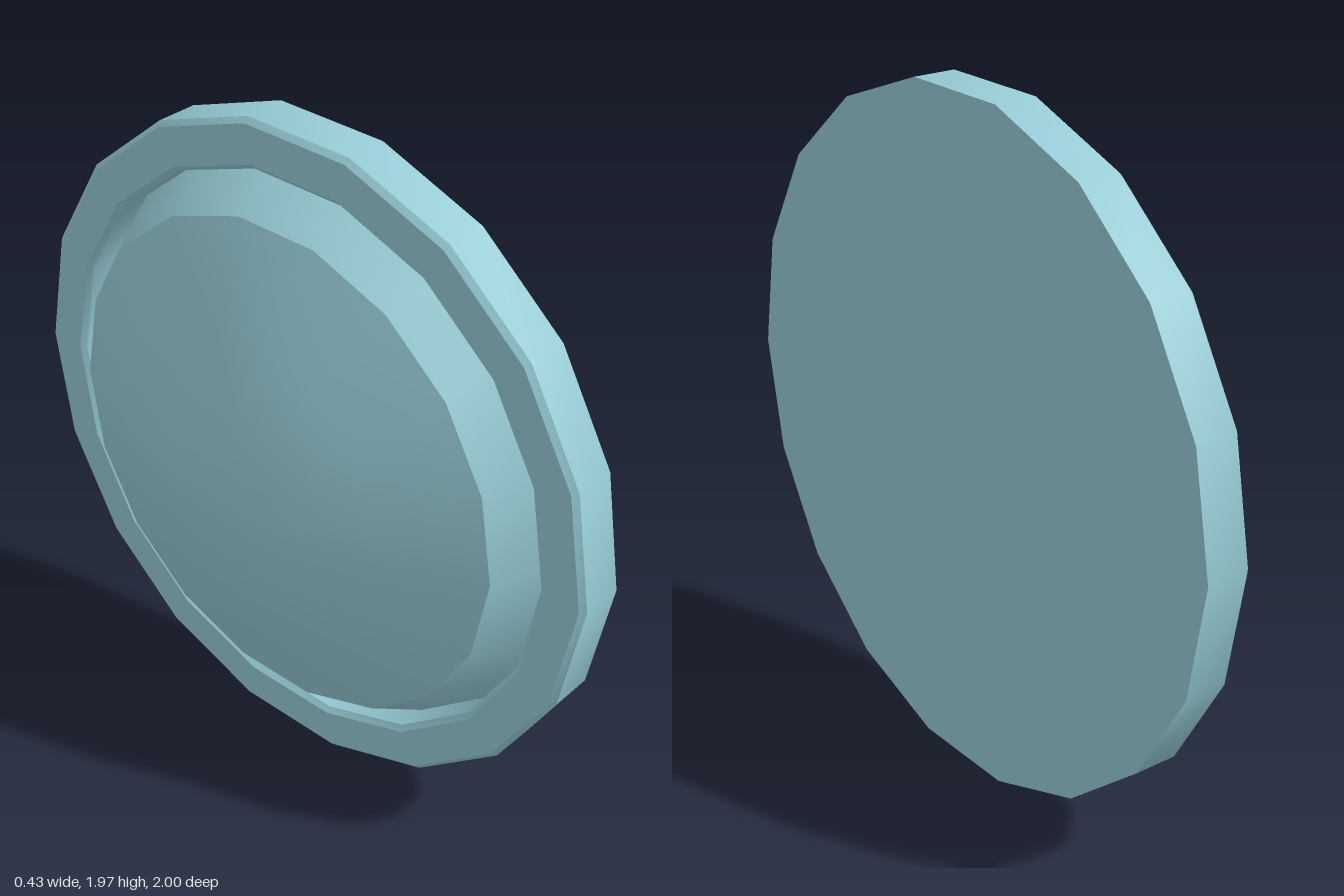
import * as THREE from 'three';
import { toCreasedNormals } from 'three/addons/utils/BufferGeometryUtils.js';

const SIDES = 18;
const CENTRE_Y = Math.cos(Math.PI / SIDES); // rests on a flat side

// Turns a profile of [radius, x] pairs around the x axis
function turned(name, profile, material) {
  const points = profile.map(([r, x]) => new THREE.Vector2(r, x));
  const lathe = new THREE.LatheGeometry(points, SIDES).rotateZ(-Math.PI / 2);
  const mesh = new THREE.Mesh(toCreasedNormals(lathe, Math.PI / 6), material);
  mesh.name = name;
  mesh.position.y = CENTRE_Y;
  return mesh;
}

export function createModel() {
  const model = new THREE.Group();
  model.name = 'domedDisc';
  const material = new THREE.MeshStandardMaterial({ color: 0x96cbd5 });

  // Shallow dome with a steep skirt sinking into the rim
  model.add(turned('dome', [
    [0, -0.215], [0.2, -0.215], [0.48, -0.125], [0.755, 0], [0.797, 0.07], [0.857, 0.17],
  ], material));

  // Bevelled rim: groove wall, annular face, outer band and flat face
  model.add(turned('rim', [
    [0.857, 0.17], [0.857, 0.083], [0.872, 0.068], [0.985, 0.068],
    [1, 0.083], [1, 0.21], [0, 0.21],
  ], material));

  return model;
}
